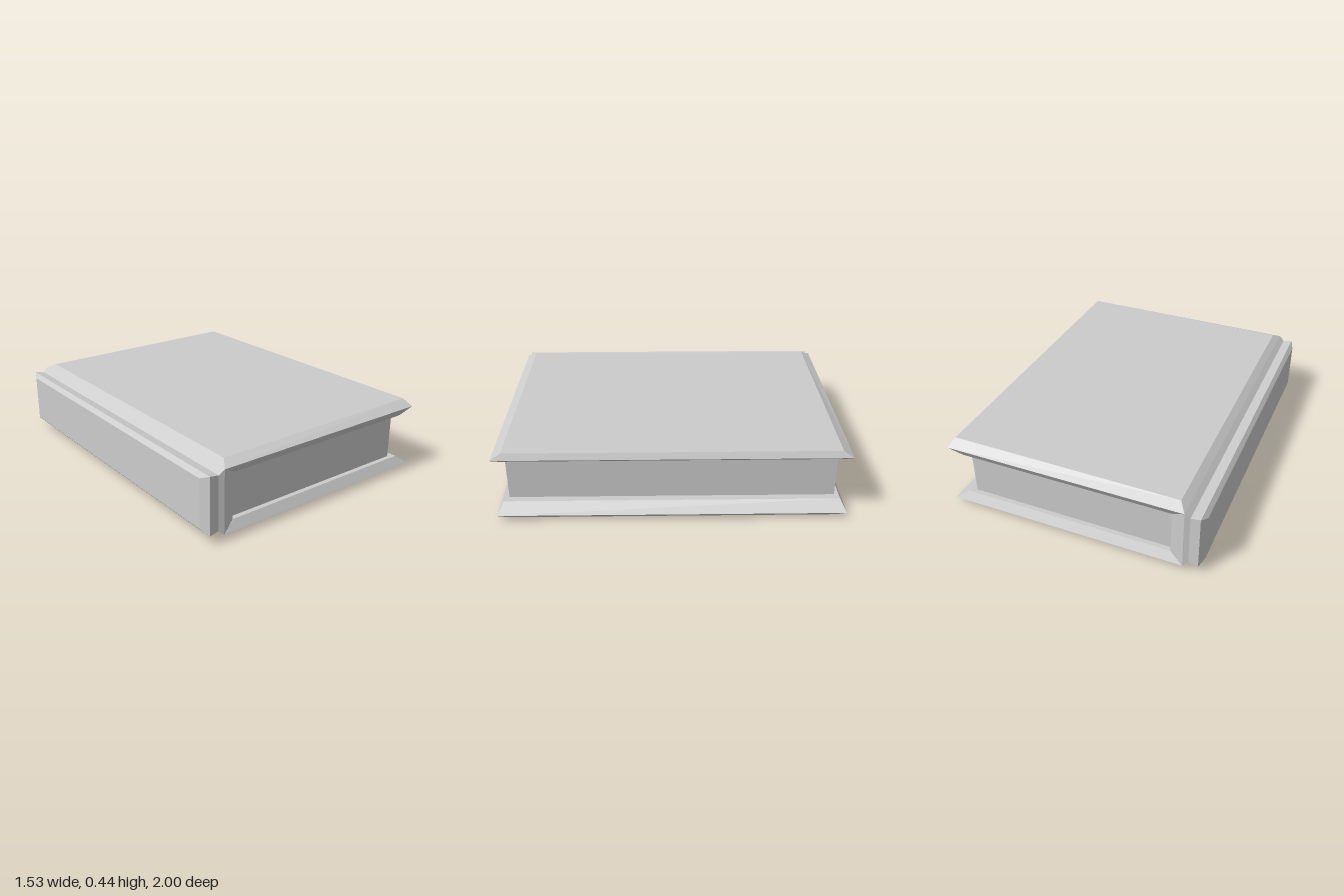
import * as THREE from 'three';

const material = new THREE.MeshStandardMaterial({ color: 0xcccccc, flatShading: true });

// Skin a stack of four-cornered rings (counterclockwise seen from the last ring) and cap both ends
function loft(name, rings) {
  const pos = [];
  const quad = (a, b, c, d) => pos.push(...a, ...b, ...c, ...a, ...c, ...d);
  for (let i = 0; i < rings.length - 1; i++) {
    const r = rings[i], s = rings[i + 1];
    for (let k = 0; k < 4; k++) {
      const n = (k + 1) % 4;
      quad(r[k], r[n], s[n], s[k]);
    }
  }
  const first = rings[0], last = rings[rings.length - 1];
  quad(...last);
  quad(first[3], first[2], first[1], first[0]);
  const geo = new THREE.BufferGeometry();
  geo.setAttribute('position', new THREE.Float32BufferAttribute(pos, 3));
  geo.computeVertexNormals();
  const mesh = new THREE.Mesh(geo, material);
  mesh.name = name;
  return mesh;
}

// Horizontal ring from x0 to x1, height may differ at the two x ends
const flatRing = (x0, x1, z, y0, y1 = y0) => [[x0, y0, z], [x1, y1, z], [x1, y1, -z], [x0, y0, -z]];

// Upright ring at x, ordered for a stack running towards -x
const uprightRing = (x, y0, y1, z) => [[x, y0, -z], [x, y0, z], [x, y1, z], [x, y1, -z]];

export function createModel() {
  const book = new THREE.Group();
  book.name = 'book';

  // Page block
  const pages = new THREE.Mesh(new THREE.BoxGeometry(1.235, 0.27, 1.885), material);
  pages.name = 'pages';
  pages.position.set(0.03, 0.223, 0);
  book.add(pages);

  // Bevelled cover boards, outer faces slightly tilted
  book.add(loft('topCover', [
    flatRing(-0.58, 0.69, 0.97, 0.357),
    flatRing(-0.66, 0.762, 1, 0.407),
    flatRing(-0.62, 0.745, 0.94, 0.437, 0.444),
  ]));
  book.add(loft('bottomCover', [
    flatRing(-0.62, 0.745, 0.94, 0.002, 0.017),
    flatRing(-0.66, 0.762, 1, 0.038),
    flatRing(-0.58, 0.69, 0.97, 0.089),
  ]));

  // Spine with its hinge groove and rounded back
  book.add(loft('spine', [
    uprightRing(-0.568, 0.089, 0.357, 0.945),
    uprightRing(-0.582, 0.089, 0.357, 0.97),
    uprightRing(-0.66, 0.038, 0.407, 1),
    uprightRing(-0.69, 0.065, 0.38, 0.99),
    uprightRing(-0.746, 0.056, 0.39, 0.993),
    uprightRing(-0.768, 0.08, 0.365, 0.935),
  ]));

  return book;
}
